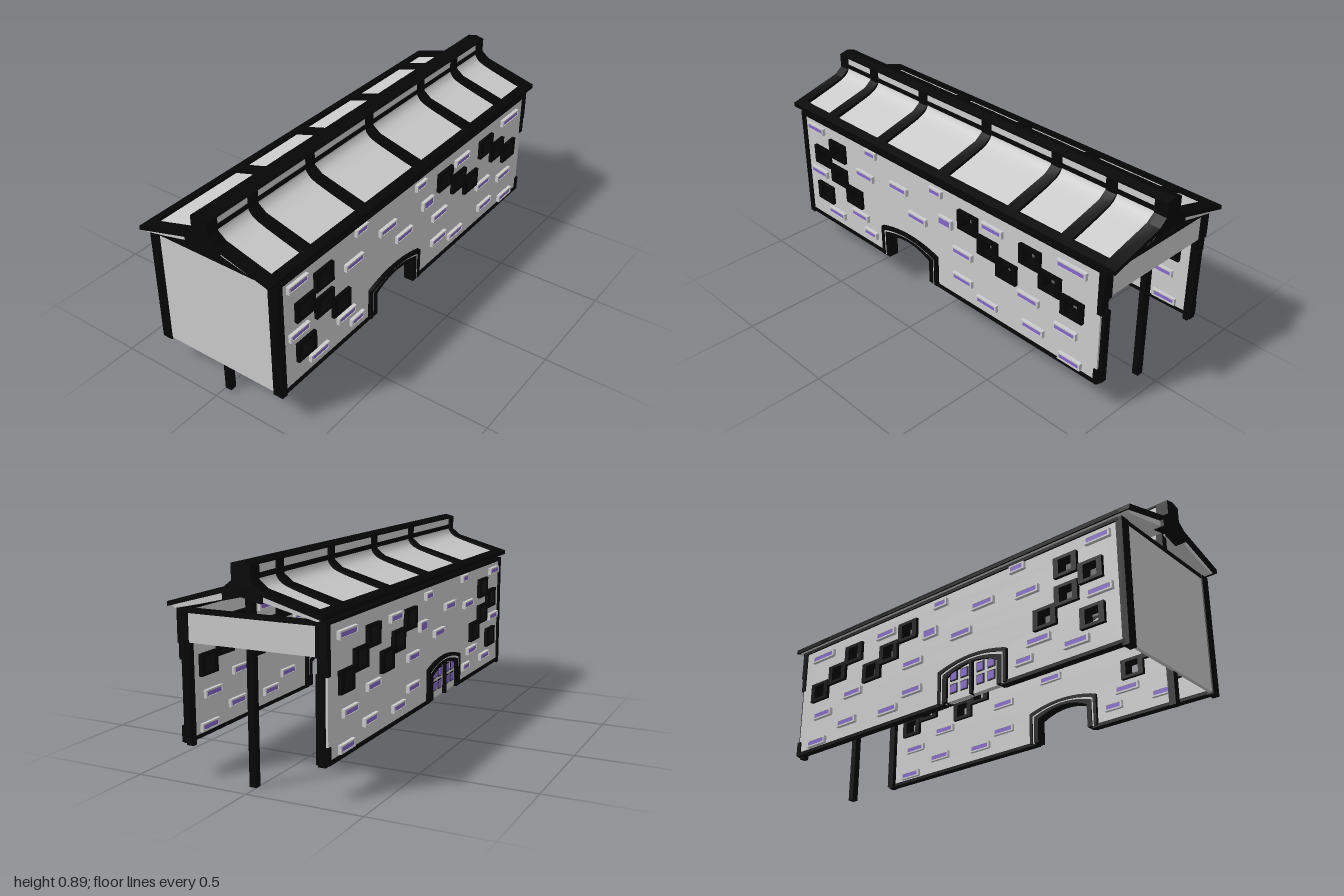
import * as THREE from 'three';
import { toCreasedNormals } from 'three/addons/utils/BufferGeometryUtils.js';

const grey = new THREE.MeshStandardMaterial({ color: 0xcccccc });
const black = new THREE.MeshStandardMaterial({ color: 0x060606 });
const purple = new THREE.MeshStandardMaterial({ color: 0x8468c8 });

// Arched doorway: centre, half width, spring height, rise
const DOOR_X = -0.18, FLOOR = 0.15;
const windows = [[-0.68, 0.57], [-0.8, 0.5], [-0.68, 0.44], [-0.57, 0.37], [-0.8, 0.3],
  [0.21, 0.57], [0.33, 0.5], [0.44, 0.44], [0.57, 0.57], [0.68, 0.5], [0.8, 0.44]];
// Bricks: x, y, width, height
const bricks = [[-0.84, 0.635], [-0.43, 0.652, 0.08], [0.01, 0.637, 0.08], [0.355, 0.602], [0.79, 0.622, 0.15],
  [-0.24, 0.552], [-0.48, 0.52], [0.07, 0.513, 0.085, 0.046], [-0.115, 0.45], [-0.84, 0.4],
  [0.175, 0.4], [0.565, 0.367], [-0.535, 0.283], [0.77, 0.315], [-0.72, 0.215],
  [-0.46, 0.215, 0.09], [0.175, 0.265], [0.325, 0.215], [0.595, 0.232], [0.8, 0.182]];

function add(parent, name, geometry, material) {
  const mesh = new THREE.Mesh(geometry, material);
  mesh.name = name;
  parent.add(mesh);
  return mesh;
}

// Box given by its limits on each axis
function box(parent, name, material, x0, x1, y0, y1, z0, z1) {
  const mesh = add(parent, name, new THREE.BoxGeometry(x1 - x0, y1 - y0, z1 - z0), material);
  mesh.position.set((x0 + x1) / 2, (y0 + y1) / 2, (z0 + z1) / 2);
  return mesh;
}

function plate(parent, name, material, shape, z0, z1) {
  const geometry = new THREE.ExtrudeGeometry(shape, { depth: z1 - z0, bevelEnabled: false });
  return add(parent, name, geometry.translate(0, 0, z0), material);
}

// Cross-section of [z, y] points carried along x
function section(parent, name, material, points, x0, x1) {
  const shape = new THREE.Shape(points.map(([z, y]) => new THREE.Vector2(-z, y)));
  const geometry = new THREE.ExtrudeGeometry(shape, { depth: x1 - x0, bevelEnabled: false });
  geometry.rotateY(Math.PI / 2).translate(x0, 0, 0);
  return add(parent, name, toCreasedNormals(geometry, 0.5), material);
}

function rectangle(x, y, w, h, Type = THREE.Shape) {
  return new Type([[-1, -1], [1, -1], [1, 1], [-1, 1]]
    .map(([a, b]) => new THREE.Vector2(x + a * w / 2, y + b * h / 2)));
}

// Points of the arch from left foot to right foot
function archPoints(half, spring, top, foot = FLOOR) {
  const points = [new THREE.Vector2(DOOR_X - half, foot)];
  for (let i = 0; i <= 12; i++) {
    const t = i / 6 - 1;
    points.push(new THREE.Vector2(DOOR_X + t * half, top - (top - spring) * t * t));
  }
  points.push(new THREE.Vector2(DOOR_X + half, foot));
  return points;
}

function archBand(parent, name, material, outer, inner, z0, z1) {
  const shape = new THREE.Shape([...archPoints(...outer), ...archPoints(...inner).reverse()]);
  plate(parent, name, material, shape, z0, z1);
}

// Long wall facing +z; "sign" places it at the front or back
function longWall(name, sign, hasDoors) {
  const wall = new THREE.Group();
  wall.name = name;
  const span = (z0, z1) => sign > 0 ? [z0, z1] : [-z1, -z0];

  // Pierced wall sheet
  const outline = new THREE.Shape([
    new THREE.Vector2(-0.935, FLOOR), ...archPoints(0.15, 0.28, 0.31),
    new THREE.Vector2(0.935, FLOOR), new THREE.Vector2(0.935, 0.68), new THREE.Vector2(-0.935, 0.68)]);
  windows.forEach(([x, y]) => outline.holes.push(rectangle(x, y, 0.068, 0.068, THREE.Path)));
  plate(wall, 'wallSheet', grey, outline, ...span(0.3, 0.322));

  // Window frames
  for (const [x, y] of windows) {
    const frame = rectangle(x, y, 0.115, 0.092);
    frame.holes.push(rectangle(x, y, 0.064, 0.064, THREE.Path));
    plate(wall, 'windowFrame', black, frame, ...span(0.284, 0.338));
  }

  // Bricks: grey rim around a purple face, showing on both sides
  for (const [x, y, w = 0.12, h = 0.034] of bricks) {
    const rim = rectangle(x, y, w, h);
    rim.holes.push(rectangle(x, y, w - 0.018, h - 0.014, THREE.Path));
    plate(wall, 'brickRim', grey, rim, ...span(0.286, 0.338));
    plate(wall, 'brick', purple, rectangle(x, y, w - 0.018, h - 0.014), ...span(0.289, 0.335));
  }

  // Sill and top plate, broken at the doorway
  box(wall, 'topPlate', black, -0.94, 0.94, 0.674, 0.688, ...span(0.295, 0.33));
  box(wall, 'sill', black, -0.94, DOOR_X - 0.16, 0.143, 0.158, ...span(0.295, 0.33));
  box(wall, 'sill', black, DOOR_X + 0.16, 0.94, 0.143, 0.158, ...span(0.295, 0.33));

  // Moulded door surround
  archBand(wall, 'archOuter', black, [0.19, 0.3, 0.33], [0.174, 0.286, 0.317], ...span(0.286, 0.338));
  archBand(wall, 'archMiddle', grey, [0.174, 0.286, 0.317], [0.164, 0.278, 0.309], ...span(0.29, 0.333));
  archBand(wall, 'archInner', black, [0.164, 0.278, 0.309], [0.14, 0.262, 0.296], ...span(0.286, 0.336));

  if (hasDoors) {
    plate(wall, 'doors', grey, new THREE.Shape(archPoints(0.142, 0.264, 0.298)), ...span(0.3, 0.325));
    box(wall, 'doorMeetingBar', black, DOOR_X - 0.007, DOOR_X + 0.007, FLOOR, 0.3, ...span(0.293, 0.34));
    for (const dx of [-0.105, -0.045, 0.045, 0.105])
      for (const y of [0.205, 0.262]) {
        plate(wall, 'doorPaneRim', black, rectangle(DOOR_X + dx, y, 0.042, 0.044), ...span(0.297, 0.328));
        plate(wall, 'doorPane', purple, rectangle(DOOR_X + dx, y, 0.032, 0.034), ...span(0.294, 0.331));
      }
  }
  return wall;
}

// Half of the roof on one side, with ribs at the given x ranges
function roofSlope(name, sign, ribs) {
  const slope = new THREE.Group();
  slope.name = name;
  const side = (points) => points.map(([z, y]) => [z * sign, y]);

  // Sweeping roof sheet
  const top = new THREE.SplineCurve([[0.327, 0.706], [0.2, 0.742], [0.08, 0.781], [0.042, 0.812], [0.036, 0.84]]
    .map(([z, y]) => new THREE.Vector2(z, y))).getPoints(20).map((p) => [p.x, p.y]);
  const under = [[0.036, 0.885], [0.012, 0.885], [0.012, 0.762], [0.08, 0.745], [0.2, 0.716], [0.31, 0.692]];
  section(slope, 'roofSheet', grey, side([...top, ...under]), -0.985, 0.985);

  // Ribs, eave and rails
  const rib = side([[0.335, 0.7], [0.335, 0.719], [0.08, 0.79], [0.042, 0.82], [0.042, 0.885], [0, 0.895],
    [0, 0.8], [0.03, 0.8], [0.075, 0.772]]);
  for (const [x0, x1] of ribs) section(slope, 'rib', black, rib, x0, x1);
  section(slope, 'eave', black, side([[0.335, 0.7], [0.335, 0.719], [0.295, 0.73], [0.295, 0.711]]), -1, 1);
  section(slope, 'ridgeRail', black, side([[0, 0.825], [0.041, 0.825], [0.041, 0.845], [0, 0.845]]), -0.99, 0.99);
  section(slope, 'ridgeCap', black, side([[0, 0.875], [0.041, 0.877], [0.041, 0.885], [0, 0.895]]), -0.99, 0.99);

  // Gable blocks under the ridge
  for (const x of [-1, 0.95])
    section(slope, 'gableBlock', black,
      side([[0, 0.76], [0.084, 0.74], [0.084, 0.787], [0.042, 0.82], [0, 0.82]]), x, x + 0.05);
  return slope;
}

export function createModel() {
  const model = new THREE.Group();
  model.name = 'coveredHall';

  model.add(longWall('frontWall', 1, false), longWall('backWall', -1, true));

  model.add(roofSlope('frontRoof', 1, [[-1, -0.945], [-0.77, -0.715], [-0.415, -0.36], [0, 0.055],
    [0.41, 0.465], [0.7, 0.755], [0.938, 1]]));
  model.add(roofSlope('backRoof', -1, [[-1, -0.945], [-0.475, -0.42], [-0.065, -0.01], [0.345, 0.4],
    [0.76, 0.815], [0.938, 1]]));

  // Closed end wall and the lintel over the open end
  box(model, 'endWall', grey, -0.95, -0.935, 0.14, 0.68, -0.29, 0.29);
  box(model, 'lintel', grey, 0.93, 0.945, 0.552, 0.68, -0.29, 0.29);
  for (const x of [-0.953, 0.928]) box(model, 'endTopPlate', black, x, x + 0.025, 0.67, 0.688, -0.325, 0.325);

  // Corner posts
  for (const s of [-1, 1]) {
    const span = (z0, z1) => s > 0 ? [z0, z1] : [-z1, -z0];
    box(model, 'cornerPost', black, -0.956, -0.926, 0.132, 0.688, ...span(0.28, 0.328));
    box(model, 'cornerPost', black, 0.915, 0.938, 0.132, 0.688, ...span(0.28, 0.312));
    box(model, 'cornerBracketLow', black, 0.922, 0.952, 0.145, 0.49, ...span(0.28, 0.312));
    box(model, 'cornerBracketHigh', black, 0.922, 0.952, 0.55, 0.688, ...span(0.28, 0.328));
    box(model, 'cornerFoot', black, 0.922, 0.945, 0.145, 0.212, ...span(0.3, 0.328));
    box(model, 'cornerTrim', black, 0.922, 0.945, 0.48, 0.56, ...span(0.3, 0.328));
  }

  // Central posts from the ground to the ridge
  for (const x of [-0.925, 0.912]) box(model, 'centrePost', black, x - 0.015, x + 0.015, 0, 0.79, -0.001, 0.03);
  return model;
}
